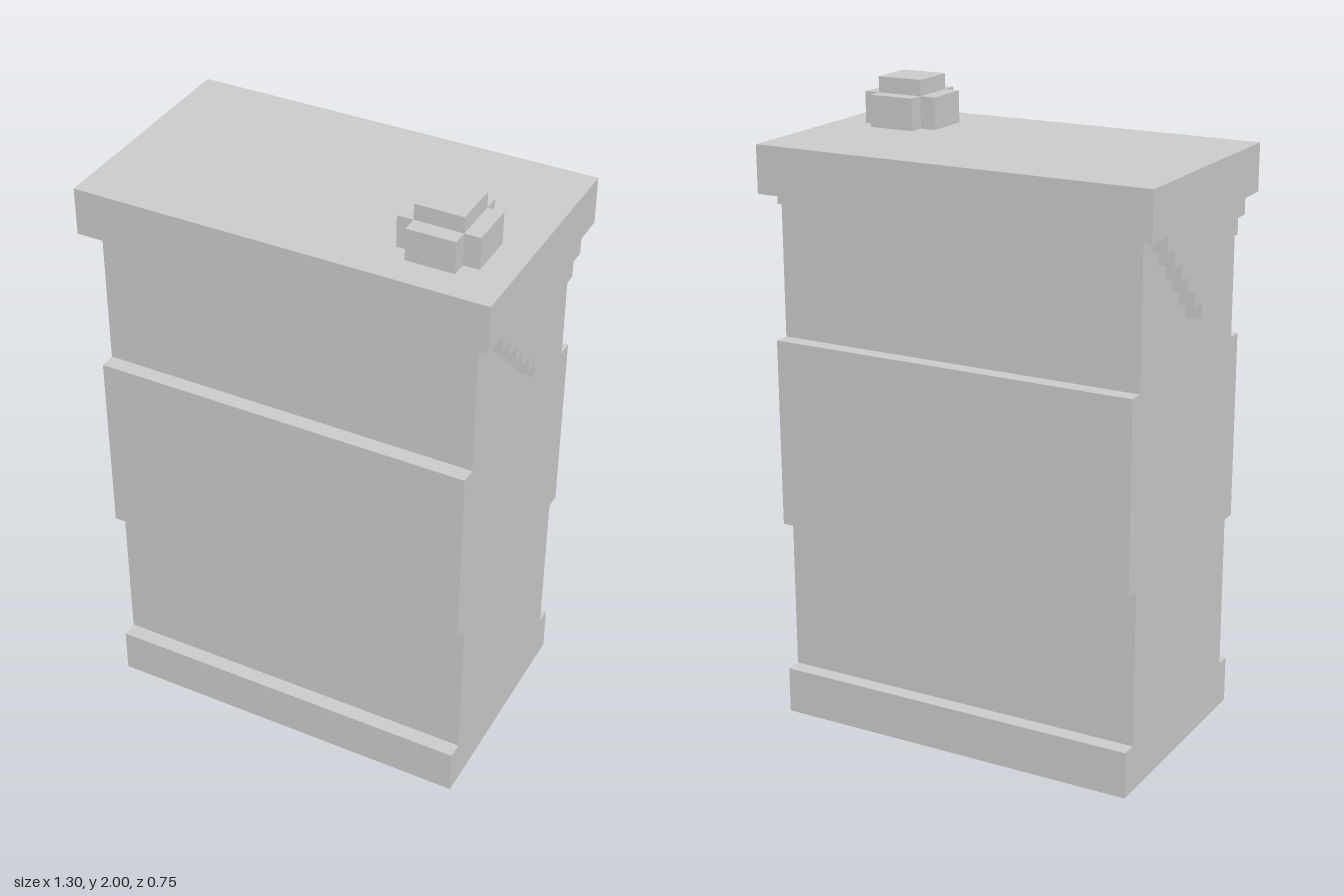
import * as THREE from 'three';

const material = new THREE.MeshStandardMaterial({ color: 0xcccccc, flatShading: true });

function addMesh(parent, name, geometry, x = 0, y = 0, z = 0) {
  const mesh = new THREE.Mesh(geometry, material);
  mesh.name = name;
  mesh.position.set(x, y, z);
  parent.add(mesh);
  return mesh;
}

// Extrudes a z-symmetric profile, given as [half depth, y] from bottom to top, along x
function extrudeProfile(half, width) {
  const points = [
    ...half.map(([z, y]) => new THREE.Vector2(z, y)),
    ...half.slice().reverse().map(([z, y]) => new THREE.Vector2(-z, y)),
  ];
  return new THREE.ExtrudeGeometry(new THREE.Shape(points), { depth: width, bevelEnabled: false })
    .translate(0, 0, -width / 2)
    .rotateY(-Math.PI / 2);
}

export function createModel() {
  const model = new THREE.Group();
  model.name = 'container';

  // Body with a protruding base and middle band on front and back
  const body = [
    [0.375, 0], [0.375, 0.15], [0.325, 0.15], [0.325, 0.65],
    [0.375, 0.65], [0.375, 1.25], [0.325, 1.25], [0.325, 1.7],
  ];
  addMesh(model, 'body', extrudeProfile(body, 1.2));

  // Overhanging top slab
  addMesh(model, 'topSlab', new THREE.BoxGeometry(1.3, 0.15, 0.75), 0, 1.775, 0);

  // Stepped triangular flaps hanging down both sides
  const step = 0.05;
  const flap = [];
  for (let i = 0; i < 6; i++) {
    const z = 0.025 + i * step;
    flap.push([z, 1.4 + i * step], [z, 1.4 + (i + 1) * step]);
  }
  for (const [name, side] of [['leftFlap', 1], ['rightFlap', -1]]) {
    addMesh(model, name, extrudeProfile(flap, step), side * 0.625);
  }

  // Cap: a cross-shaped grip with a small square block on top
  const cap = new THREE.Group();
  cap.name = 'cap';
  cap.position.set(0.425, 1.85, 0.15);
  model.add(cap);
  const a = 0.075, b = 0.125;
  const cross = new THREE.Shape([
    [b, -a], [b, a], [a, a], [a, b], [-a, b], [-a, a],
    [-b, a], [-b, -a], [-a, -a], [-a, -b], [a, -b], [a, -a],
  ].map(([x, y]) => new THREE.Vector2(x, y)));
  const grip = new THREE.ExtrudeGeometry(cross, { depth: 0.1, bevelEnabled: false });
  addMesh(cap, 'capGrip', grip.rotateX(-Math.PI / 2));
  addMesh(cap, 'capTop', new THREE.BoxGeometry(0.15, 0.05, 0.15), 0, 0.125, 0);

  return model;
}
